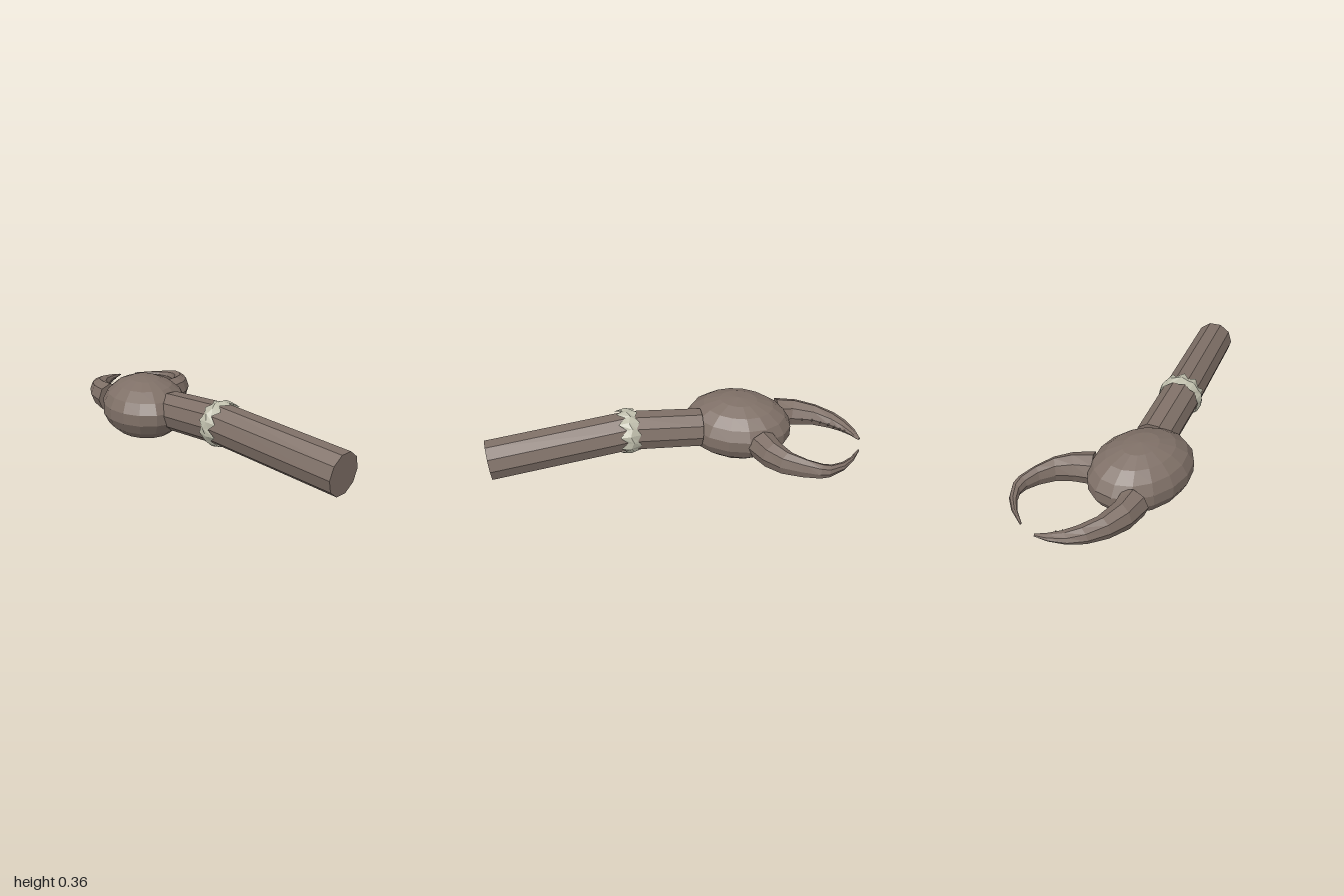
import * as THREE from 'three';

const V = (x, y, z) => new THREE.Vector3(x, y, z);
const UP = V(0, 1, 0);

// Skin a closed tube through rings { c, u, v, shift(k) }; end caps are optional.
function loft(rings, sides, capped = true) {
  const pos = [];
  const point = (r, k) => {
    const a = ((k % sides) / sides) * Math.PI * 2;
    const p = r.c.clone().addScaledVector(r.u, Math.cos(a)).addScaledVector(r.v, Math.sin(a));
    return r.shift ? p.add(r.shift(k % sides)) : p;
  };
  const tri = (...pts) => pts.forEach((p) => pos.push(p.x, p.y, p.z));
  for (let i = 0; i < rings.length - 1; i++) {
    for (let k = 0; k < sides; k++) {
      const a = point(rings[i], k), b = point(rings[i], k + 1);
      const c = point(rings[i + 1], k + 1), d = point(rings[i + 1], k);
      tri(a, b, c);
      tri(a, c, d);
    }
  }
  if (capped) {
    const first = rings[0], last = rings[rings.length - 1];
    for (let k = 0; k < sides; k++) {
      tri(first.c, point(first, k + 1), point(first, k));
      tri(last.c, point(last, k), point(last, k + 1));
    }
  }
  const geo = new THREE.BufferGeometry();
  geo.setAttribute('position', new THREE.Float32BufferAttribute(pos, 3));
  geo.computeVertexNormals();
  return geo;
}

// Round ring whose first corner lies level to the side of the axis.
function ring(c, axis, r, shift) {
  const u = UP.clone().cross(axis).normalize();
  const v = axis.clone().cross(u).normalize();
  return { c, u: u.multiplyScalar(r), v: v.multiplyScalar(r), shift };
}

// Straight ten-sided limb between two points.
function limb(a, b, r0, r1) {
  const axis = b.clone().sub(a).normalize();
  return loft([ring(a, axis, r0), ring(b, axis, r1)], 10);
}

// Curved pincer from stations [outerX, outerZ, innerX, innerZ, halfHeight].
function pincer(stations, flip) {
  return loft(stations.map(([ox, oz, ix, iz, h]) => ({
    c: V((ox + ix) / 2, 0.18, (oz + iz) / 2),
    u: V((ox - ix) / 2, 0, (oz - iz) / 2),
    v: V(0, flip ? -h : h, 0),
  })), 8);
}

export function createModel() {
  const group = new THREE.Group();
  const shell = new THREE.MeshStandardMaterial({ color: 0x7f7067, flatShading: true });
  shell.name = 'brown shell';
  const bone = new THREE.MeshStandardMaterial({ color: 0xbfbeac, flatShading: true, side: THREE.DoubleSide });
  bone.name = 'pale joint';
  const add = (name, geo, mat = shell) => {
    const mesh = new THREE.Mesh(geo, mat);
    mesh.name = name;
    group.add(mesh);
    return mesh;
  };

  // Palm
  const palm = add('palm', new THREE.SphereGeometry(1, 16, 9));
  palm.scale.set(0.245, 0.178, 0.31);
  palm.position.set(-0.247, 0.18, -0.3);

  // Two arm sections meeting at the joint
  const wrist = V(-0.13, 0.197, -0.105), joint = V(0.04, 0.225, 0.265), end = V(0.417, 0.167, 0.945);
  add('wristSection', limb(wrist, joint, 0.111, 0.113));
  add('armSection', limb(joint, end, 0.113, 0.1136));

  // Jagged collar around the joint
  const axis = end.clone().sub(wrist).normalize();
  const zigzag = (even, odd) => (k) => axis.clone().multiplyScalar(k % 2 ? odd : even);
  add('jointCollar', loft([
    ring(joint, axis, 0.114, zigzag(-0.035, -0.055)),
    ring(joint, axis, 0.128, zigzag(-0.01, 0.005)),
    ring(joint, axis, 0.118, zigzag(0.02, 0.062)),
  ], 20, false), bone);

  // Broad pincer
  const broad = [
    [-0.49, -0.47, -0.335, -0.53, 0.088],
    [-0.515, -0.6, -0.37, -0.6, 0.078],
    [-0.502, -0.72, -0.385, -0.72, 0.062],
    [-0.465, -0.83, -0.36, -0.82, 0.045],
    [-0.41, -0.91, -0.33, -0.885, 0.029],
    [-0.335, -0.968, -0.295, -0.94, 0.016],
    [-0.268, -0.998, -0.255, -0.985, 0.004],
  ];
  add('broadPincer', pincer(broad, false));

  // Slender pincer
  add('slenderPincer', pincer([
    [-0.02, -0.41, -0.13, -0.54, 0.088],
    [0.06, -0.5, -0.05, -0.595, 0.08],
    [0.105, -0.6, 0.01, -0.66, 0.07],
    [0.116, -0.72, 0.04, -0.74, 0.058],
    [0.115, -0.82, 0.045, -0.815, 0.044],
    [0.1, -0.865, 0.03, -0.865, 0.034],
    [0.03, -0.935, -0.015, -0.915, 0.021],
    [-0.05, -0.975, -0.075, -0.955, 0.012],
    [-0.155, -1.0, -0.16, -0.99, 0.004],
  ], true));

  // Small teeth along the inner edge of the broad pincer
  const edge = new THREE.CatmullRomCurve3(broad.slice(1, 6).map((s) => V(s[2], 0.18, s[3])));
  for (let i = 0; i < 7; i++) {
    const t = 0.12 + i * 0.12;
    const out = edge.getTangent(t).cross(UP).normalize();
    const tooth = add('tooth' + (i + 1), new THREE.ConeGeometry(0.008, 0.024, 5));
    tooth.position.copy(edge.getPoint(t)).addScaledVector(out, 0.006);
    tooth.quaternion.setFromUnitVectors(UP, out);
  }
  return group;
}
